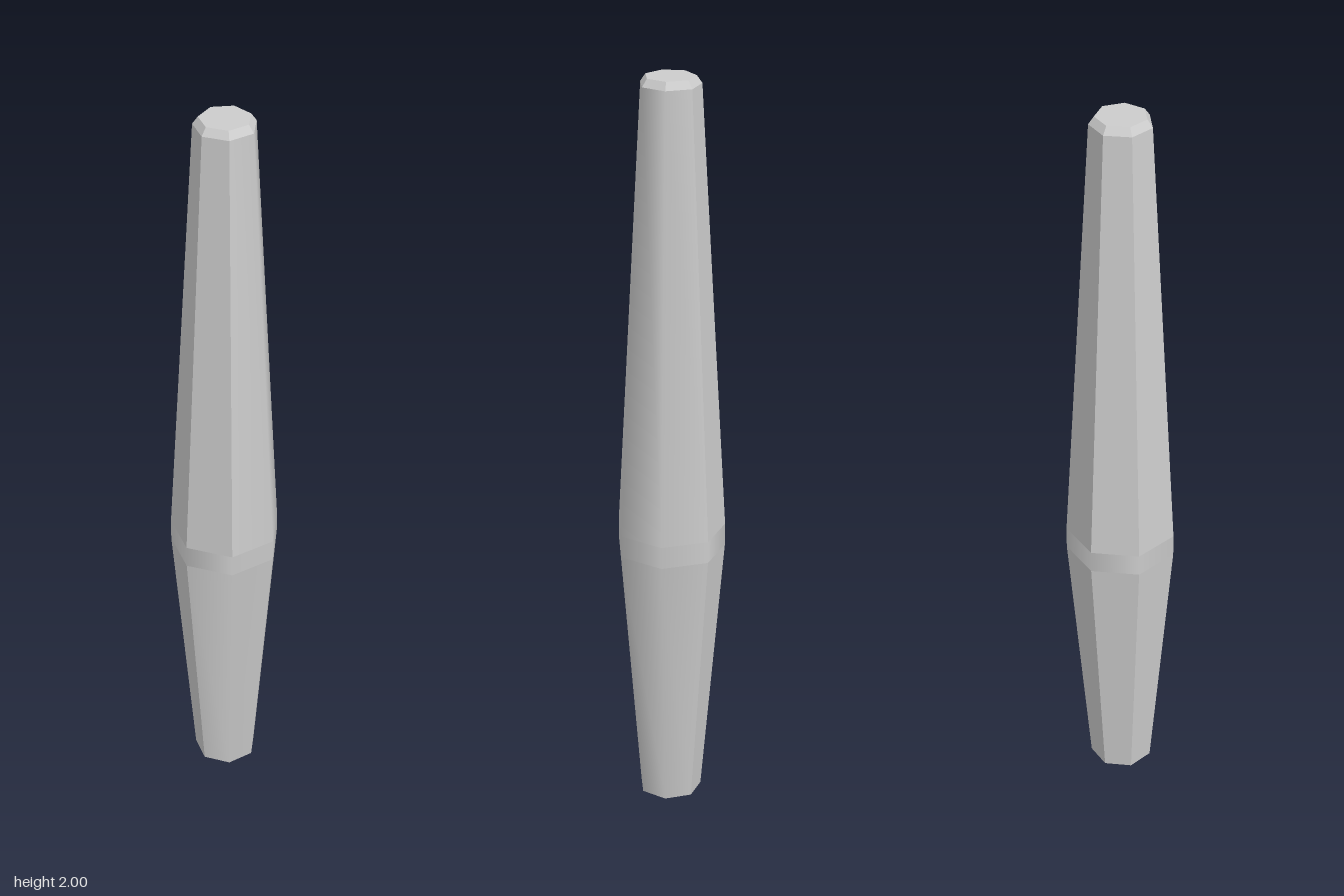
import * as THREE from 'three';

const SIDES = 7;
const CENTER_X = -0.007;
const angle = (i) => (i * Math.PI * 2) / SIDES;
const ALL = [0, 1, 2, 3, 4, 5, 6];

// One tapered seven-sided section; corners listed in "soft" get rounded shading.
function section(y0, r0, y1, r1, soft) {
  const pos = [], nor = [];
  const tilt = (r0 - r1) / (y1 - y0);
  const put = (i, face, y, r) => {
    const a = angle(i);
    const n = soft.includes(i % SIDES) ? a : angle(face + 0.5);
    const normal = new THREE.Vector3(Math.cos(n), tilt, Math.sin(n)).normalize();
    pos.push(r * Math.cos(a), y, r * Math.sin(a));
    nor.push(normal.x, normal.y, normal.z);
  };
  for (let i = 0; i < SIDES; i++) {
    put(i, i, y0, r0);
    put(i, i, y1, r1);
    put(i + 1, i, y1, r1);
    put(i, i, y0, r0);
    put(i + 1, i, y1, r1);
    put(i + 1, i, y0, r0);
  }
  const geo = new THREE.BufferGeometry();
  geo.setAttribute('position', new THREE.Float32BufferAttribute(pos, 3));
  geo.setAttribute('normal', new THREE.Float32BufferAttribute(nor, 3));
  return geo;
}

export function createModel() {
  const group = new THREE.Group();
  const material = new THREE.MeshStandardMaterial({ color: 0xcccccc });
  const add = (name, geo) => {
    const mesh = new THREE.Mesh(geo, material);
    mesh.name = name;
    mesh.position.x = CENTER_X;
    group.add(mesh);
  };

  // Shaft: short lower taper, narrow belt, long upper taper, bevelled tip
  add('lowerShaft', section(0, 0.085, 0.725, 0.147, [0, 1, 6]));
  add('belt', section(0.725, 0.147, 0.785, 0.147, ALL));
  add('upperShaft', section(0.785, 0.147, 1.98, 0.08, [0, 6]));
  add('tipBevel', section(1.98, 0.08, 2, 0.066, []));

  // End caps
  add('topCap', new THREE.CircleGeometry(0.066, SIDES).rotateX(-Math.PI / 2).translate(0, 2, 0));
  add('bottomCap', new THREE.CircleGeometry(0.085, SIDES).rotateX(Math.PI / 2));

  return group;
}
